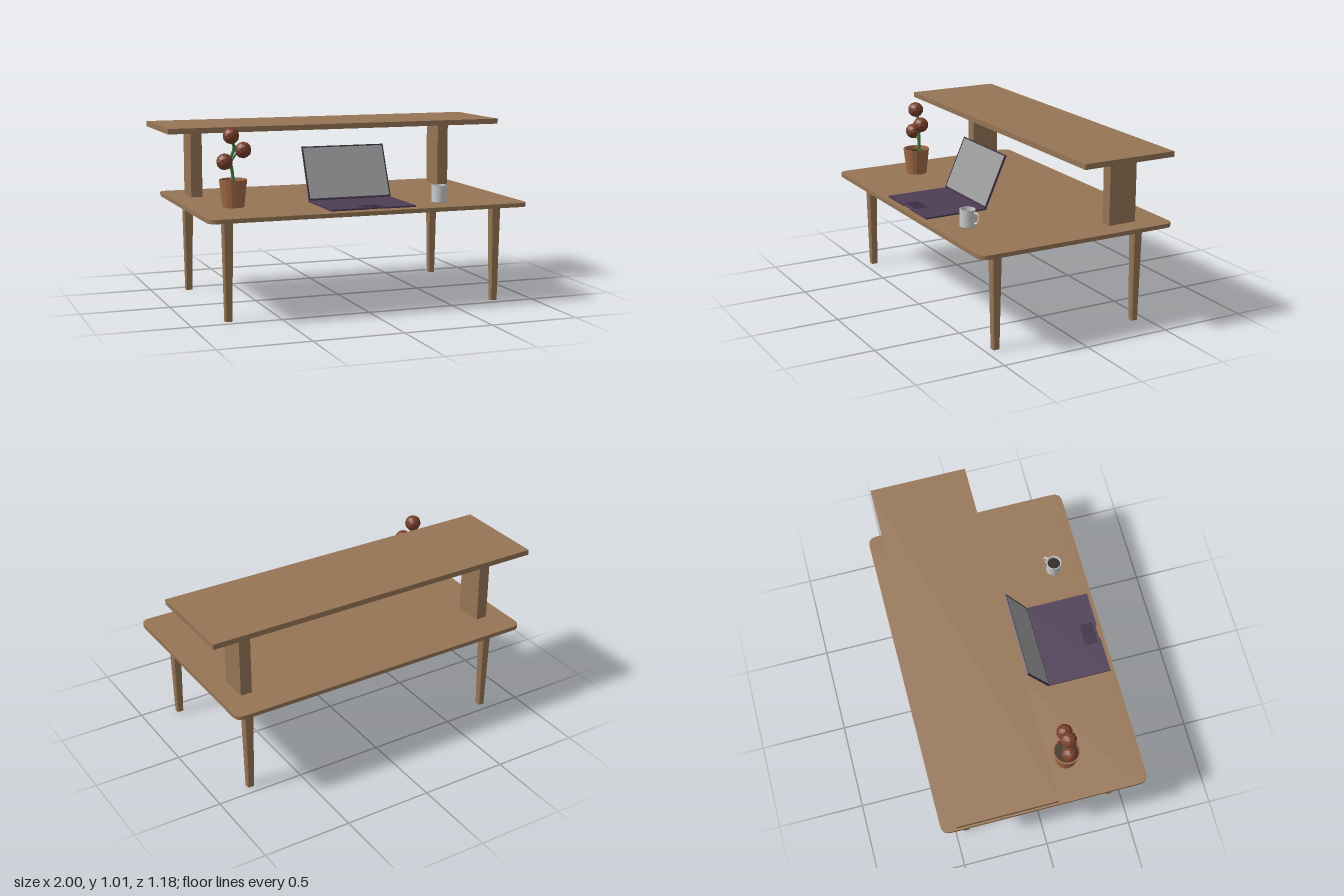
import * as THREE from 'three';

const mat = (color, flat = true) =>
  new THREE.MeshStandardMaterial({ color, flatShading: flat, side: THREE.DoubleSide });
const WOOD = mat(0x967555), CLAY = mat(0xa06a48), SOIL = mat(0x3d2a1e), LEAF = mat(0x7a3f2b),
  STEM = mat(0x3f7a3c, false), SHELL = mat(0x4d3d55), DARK = mat(0x3a2d42),
  SCREEN = mat(0x999999), MUG = mat(0xcccccc, false), COFFEE = mat(0x2a211c);

function add(parent, name, geometry, material, x = 0, y = 0, z = 0) {
  const mesh = new THREE.Mesh(geometry, material);
  mesh.name = name;
  mesh.position.set(x, y, z);
  parent.add(mesh);
  return mesh;
}

function addGroup(parent, name, x, y, z) {
  const g = new THREE.Group();
  g.name = name;
  g.position.set(x, y, z);
  parent.add(g);
  return g;
}

const box = (w, h, d) => new THREE.BoxGeometry(w, h, d);
const lathe = (pts, sides) =>
  new THREE.LatheGeometry(pts.map(([r, y]) => new THREE.Vector2(r, y)), sides);

// Upright slab with rounded plan corners, standing on y = 0
function roundedSlab(w, d, h, r, segments) {
  const s = new THREE.Shape(), a = w / 2, b = d / 2;
  s.moveTo(-a + r, -b).lineTo(a - r, -b).quadraticCurveTo(a, -b, a, -b + r)
    .lineTo(a, b - r).quadraticCurveTo(a, b, a - r, b)
    .lineTo(-a + r, b).quadraticCurveTo(-a, b, -a, b - r)
    .lineTo(-a, -b + r).quadraticCurveTo(-a, -b, -a + r, -b);
  const g = new THREE.ExtrudeGeometry(s, { depth: h, bevelEnabled: false, curveSegments: segments });
  return g.rotateX(-Math.PI / 2);
}

// Square leg with chamfered corners, narrowing toward the floor
function taperedLeg(h, top, bottom) {
  const g = roundedSlab(top, top, h, 0.006, 1), p = g.attributes.position;
  for (let i = 0; i < p.count; i++) {
    const k = THREE.MathUtils.lerp(bottom / top, 1, p.getY(i) / h);
    p.setX(i, p.getX(i) * k);
    p.setZ(i, p.getZ(i) * k);
  }
  g.computeVertexNormals();
  return g;
}

function buildDesk(root) {
  const desk = addGroup(root, 'desk', 0, 0, 0);
  add(desk, 'deskTop', roundedSlab(1.84, 1.18, 0.023, 0.055, 6), WOOD, 0, 0.552, 0);
  add(desk, 'shelf', box(2, 0.03, 0.55), WOOD, 0, 0.985, -0.24);
  const leg = taperedLeg(0.552, 0.056, 0.037);
  for (const sx of [-1, 1]) {
    add(desk, 'shelfSupport', box(0.066, 0.386, 0.166), WOOD, sx * 0.772, 0.77, -0.332);
    for (const sz of [-1, 1]) add(desk, 'leg', leg, WOOD, sx * 0.783, 0, sz * 0.436);
  }
}

function buildPlant(root) {
  const plant = addGroup(root, 'plant', -0.676, 0.576, 0.18);
  // Pot wall goes up the outside, over the rim and down inside
  add(plant, 'pot', lathe([[0, 0], [0.06, 0], [0.078, 0.152], [0.07, 0.152], [0.066, 0.12]], 16), CLAY);
  add(plant, 'soil', new THREE.CylinderGeometry(0.067, 0.067, 0.006, 16), SOIL, 0, 0.125, 0);

  const stem = (name, pts, r) => {
    const curve = new THREE.CatmullRomCurve3(pts.map((p) => new THREE.Vector3(...p)));
    add(plant, name, new THREE.TubeGeometry(curve, 10, r, 8), STEM);
  };
  stem('mainStem', [[0.008, 0.12, -0.014], [0, 0.2, -0.02], [-0.008, 0.26, -0.022],
    [0.012, 0.32, -0.014], [-0.008, 0.38, -0.004]], 0.009);
  stem('rightBranch', [[-0.004, 0.25, -0.02], [0.022, 0.287, -0.014], [0.055, 0.308, -0.004]], 0.007);
  stem('leftBranch', [[0.004, 0.17, -0.018], [-0.012, 0.22, -0.014], [-0.045, 0.25, -0.004]], 0.007);

  // Faceted foliage balls
  const ball = new THREE.IcosahedronGeometry(0.046, 1);
  for (const [x, y] of [[-0.008, 0.39], [0.06, 0.31], [-0.046, 0.249]])
    add(plant, 'foliageBall', ball, LEAF, x, y, -0.004);
}

function buildLaptop(root) {
  const laptop = addGroup(root, 'laptop', 0, 0.582, 0);
  // Base with a thumb notch cut into its front edge
  const s = new THREE.Shape();
  s.moveTo(-0.245, -0.565).lineTo(-0.042, -0.565).lineTo(-0.036, -0.557).lineTo(0.036, -0.557)
    .lineTo(0.042, -0.565).lineTo(0.245, -0.565).lineTo(0.245, -0.195).lineTo(-0.245, -0.195);
  const base = new THREE.ExtrudeGeometry(s, { depth: 0.009, bevelEnabled: false });
  add(laptop, 'laptopBase', base.rotateX(-Math.PI / 2), SHELL);
  add(laptop, 'touchpad', box(0.13, 0.001, 0.075), DARK, 0, 0.009, 0.505);

  // Lid hinged at the back of the base and leaning backward
  const lid = addGroup(laptop, 'laptopLid', 0, 0.004, 0.2);
  lid.rotation.x = -0.42;
  add(lid, 'lidShell', box(0.49, 0.32, 0.008), SHELL, 0, 0.16, 0);
  add(lid, 'screen', box(0.476, 0.298, 0.002), SCREEN, 0, 0.164, 0.004);
  for (const sx of [-1, 1]) add(lid, 'sideBezel', box(0.007, 0.32, 0.004), DARK, sx * 0.2415, 0.16, 0.004);
  for (const y of [0.0075, 0.3165]) add(lid, 'edgeBezel', box(0.49, 0.007, 0.004), DARK, 0, y, 0.004);
}

function buildMug(root) {
  const mug = addGroup(root, 'mug', 0.448, 0.577, 0.419);
  add(mug, 'mugBody', lathe([[0, 0], [0.038, 0], [0.042, 0.004], [0.042, 0.004], [0.043, 0.098],
    [0.043, 0.098], [0.038, 0.098], [0.038, 0.098], [0.037, 0.07]], 24), MUG);
  add(mug, 'coffee', new THREE.CylinderGeometry(0.0375, 0.0375, 0.004, 24), COFFEE, 0, 0.074, 0);
  const path = new THREE.CatmullRomCurve3([[0.038, 0.078], [0.06, 0.078], [0.068, 0.066],
    [0.066, 0.04], [0.056, 0.024], [0.038, 0.022]].map(([x, y]) => new THREE.Vector3(x, y, 0)));
  add(mug, 'mugHandle', new THREE.TubeGeometry(path, 20, 0.006, 8), MUG).rotation.y = 0.6;
}

export function createModel() {
  const root = new THREE.Group();
  root.name = 'deskScene';
  buildDesk(root);
  buildPlant(root);
  buildLaptop(root);
  buildMug(root);
  return root;
}
